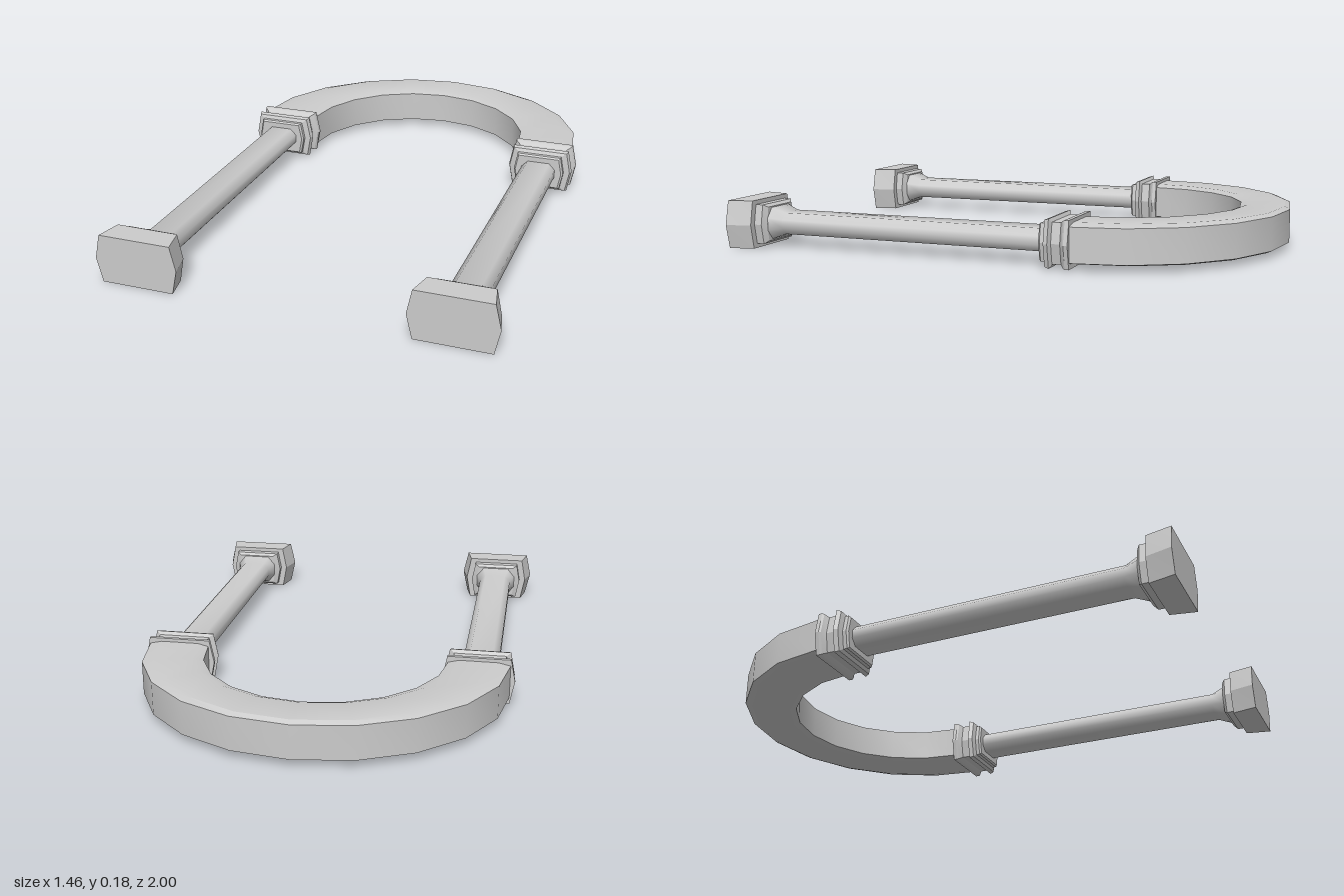
import * as THREE from 'three';
import { toCreasedNormals } from 'three/addons/utils/BufferGeometryUtils.js';

const MID = 0.0915; // height of the centre plane of the arch lying on its back
const COLUMN_X = 0.573;
const material = new THREE.MeshStandardMaterial({ color: 0xcccccc });

// Closed solid through rings of equal point count, with capped ends
function loft(name, rings, crease) {
  const n = rings[0].length;
  const positions = rings.flat(2);
  const index = [];
  for (let r = 0; r < rings.length - 1; r++) {
    for (let j = 0; j < n; j++) {
      const a = r * n + j, b = r * n + (j + 1) % n;
      index.push(a, a + n, b, b, a + n, b + n);
    }
  }
  const last = (rings.length - 1) * n;
  for (let j = 1; j < n - 1; j++) {
    index.push(0, j, j + 1, last, last + j + 1, last + j);
  }
  const geometry = new THREE.BufferGeometry();
  geometry.setAttribute('position', new THREE.Float32BufferAttribute(positions, 3));
  geometry.setIndex(index);
  const mesh = new THREE.Mesh(toCreasedNormals(geometry, crease), material);
  mesh.name = name;
  return mesh;
}

// Cross-sections, counter-clockwise: six-sided mouldings, rounded shaft
const hexagon = [[1, 0], [0.87, 1], [-0.87, 1], [-1, 0], [-0.87, -1], [0.87, -1]];
const rounded = [[1, -0.4], [1, 0.4], [0.65, 1], [-0.65, 1], [-1, 0.4], [-1, -0.4], [-0.65, -1], [0.65, -1]];

// Profile rows are [z, half width, half height], from the foot upwards
function stack(name, section, profile, crease) {
  const rings = profile.map(([z, hx, hy]) => section.map(([x, y]) => [x * hx, y * hy, z]));
  return loft(name, rings, crease);
}

function createColumn(name, x) {
  const column = new THREE.Group();
  column.name = name;
  column.add(
    stack('plinth', hexagon, [[1, 0.158, 0.0915], [0.905, 0.135, 0.0915]], 0.3),
    stack('baseMoulding', hexagon, [
      [0.91, 0.11, 0.075], [0.875, 0.11, 0.075], [0.862, 0.09, 0.065],
    ], 0.3),
    stack('shaft', rounded, [
      [0.87, 0.088, 0.063], [0.86, 0.085, 0.06], [0.81, 0.068, 0.041], [-0.26, 0.068, 0.041],
    ], 1.1),
    stack('capital', hexagon, [
      [-0.24, 0.095, 0.062], [-0.247, 0.102, 0.068], [-0.262, 0.102, 0.068],
      [-0.268, 0.125, 0.082], [-0.285, 0.131, 0.087], [-0.292, 0.112, 0.074],
      [-0.325, 0.112, 0.074], [-0.338, 0.13, 0.083], [-0.345, 0.135, 0.086],
      [-0.36, 0.135, 0.086],
    ], 0.3),
  );
  column.position.set(x, MID, 0);
  return column;
}

// Half-elliptical arch band with chamfered edges
function createArch() {
  const outer = [0.69, 0.64], outerFace = [0.645, 0.62];
  const innerFace = [0.5, 0.478], inner = [0.46, 0.45];
  const wall = 0.063, face = 0.073;
  const section = [
    [outer, -wall], [outer, wall], [outerFace, face], [innerFace, face],
    [inner, wall], [inner, -wall], [innerFace, -face], [outerFace, -face],
  ];
  const rings = [];
  const steps = 10;
  for (let i = 0; i <= steps; i++) {
    const t = Math.PI * i / steps;
    rings.push(section.map(([[rx, rz], y]) => [rx * Math.cos(t), MID + y, -0.355 - (rz + 0.005) * Math.sin(t)]));
  }
  return loft('arch', rings, 0.4);
}

export function createModel() {
  const model = new THREE.Group();
  model.name = 'archway';
  model.add(createColumn('leftColumn', COLUMN_X), createColumn('rightColumn', -COLUMN_X), createArch());
  return model;
}
